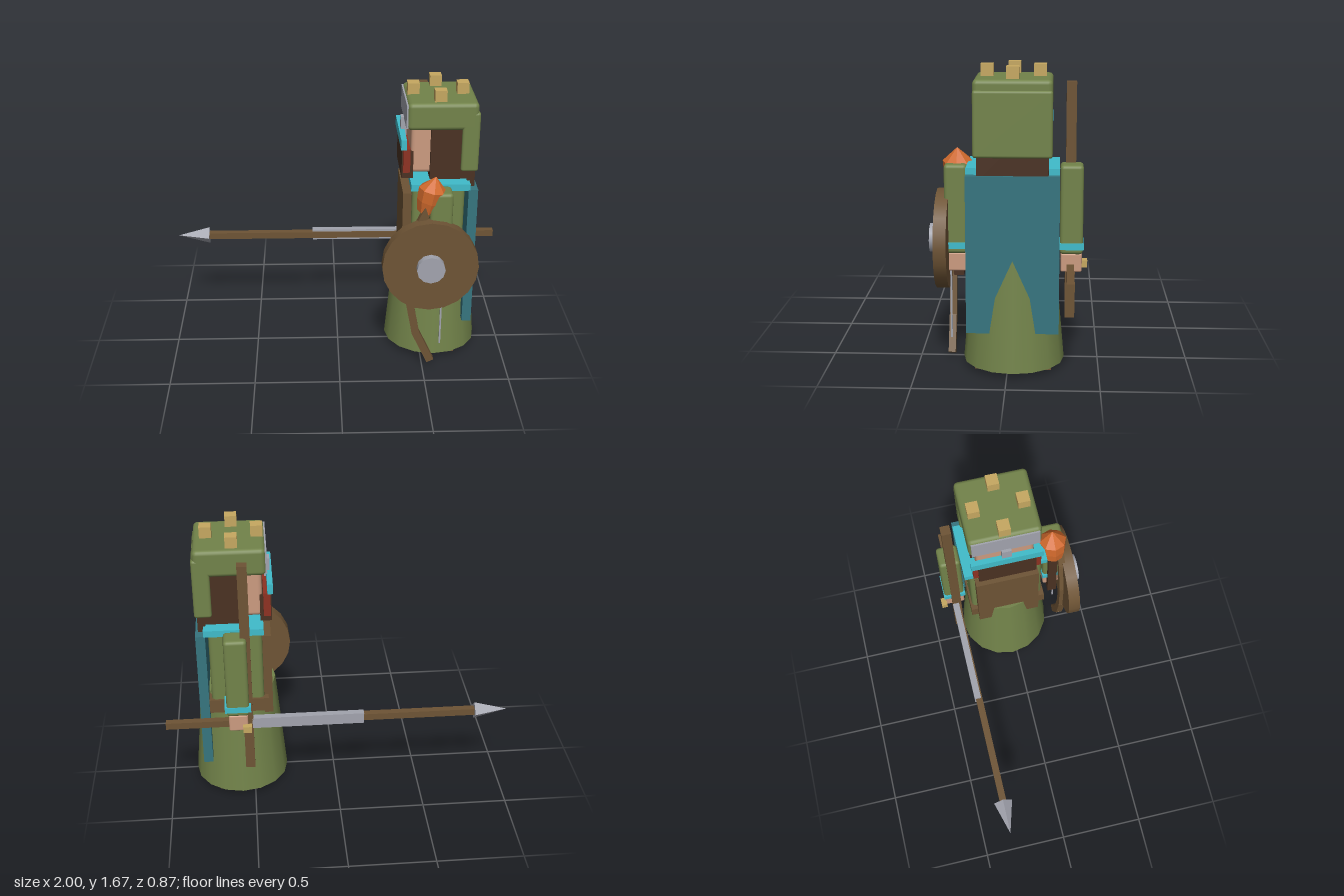
import * as THREE from 'three';
import { RoundedBoxGeometry } from 'three/addons/geometries/RoundedBoxGeometry.js';

export function createModel() {
  const model = new THREE.Group();
  model.name = 'hoodedGuard';

  const material = (name, color) => {
    const m = new THREE.MeshStandardMaterial({ color });
    m.name = name;
    return m;
  };
  const green = material('greenCloth', 0x72834a);
  const wood = material('wood', 0x6e5435);
  const darkBrown = material('darkBrown', 0x4a3122);
  const steel = material('steel', 0xa2a4ae);
  const cyan = material('cyanTrim', 0x40bccb);
  const teal = material('tealCape', 0x36757f);
  const skin = material('skin', 0xcc9b80);
  const red = material('red', 0x8e3222);
  const orange = material('orangeFlame', 0xd0692c);
  const gold = material('gold', 0xc6a861);

  const add = (name, geometry, mat, x = 0, y = 0, z = 0) => {
    const mesh = new THREE.Mesh(geometry, mat);
    mesh.name = name;
    mesh.position.set(x, y, z);
    model.add(mesh);
    return mesh;
  };
  // Box from its limits on each axis, with an optional bevel
  const box = (name, mat, [x0, x1], [y0, y1], [z0, z1], bevel = 0) => {
    const size = [x1 - x0, y1 - y0, z1 - z0];
    const geometry = bevel
      ? new RoundedBoxGeometry(...size, 2, bevel)
      : new THREE.BoxGeometry(...size);
    return add(name, geometry, mat, (x0 + x1) / 2, (y0 + y1) / 2, (z0 + z1) / 2);
  };

  const cx = 0.575, cz = -0.03; // body axis; the figure looks along -x
  const wide = (half) => [cz - half, cz + half];

  // Robe, torso, belt and boots
  add('robe', new THREE.CylinderGeometry(0.222, 0.28, 0.65, 16), green, cx, 0.355, cz);
  box('torso', green, [0.425, 0.73], [0.6, 1.12], wide(0.22), 0.025);
  box('belt', wood, [0.4, 0.745], [0.58, 0.665], wide(0.232));
  for (const side of [-1, 1]) {
    const z = cz + side * 0.12;
    box('boot', wood, [0.505, 0.71], [0, 0.1], [z - 0.09, z + 0.09]);
  }
  box('chestPanel', wood, [0.375, 0.425], [0.54, 1.06], wide(0.19));
  box('collar', cyan, [0.415, 0.755], [1.1, 1.14], wide(0.25));
  box('cape', teal, [0.745, 0.8], [0.24, 1.105], wide(0.25));

  // Arms with cuffs and hands
  for (const side of [-1, 1]) {
    const z = cz + side * 0.315;
    box('arm', green, [0.515, 0.645], [0.64, 1.135], [z - 0.063, z + 0.063], 0.02);
    box('cuff', cyan, [0.505, 0.655], [0.67, 0.705], [z - 0.067, z + 0.067]);
    box('hand', skin, [0.525, 0.635], [0.54, 0.645], [z - 0.058, z + 0.058], 0.01);
  }

  // Head and hair
  box('head', skin, [0.415, 0.73], [1.18, 1.47], wide(0.17), 0.025);
  box('hair', darkBrown, [0.525, 0.77], [1.15, 1.47], wide(0.19));
  box('backHair', darkBrown, [0.74, 0.785], [1.07, 1.46], wide(0.19));

  // Hood with gold studs
  box('hoodTop', green, [0.39, 0.79], [1.45, 1.61], wide(0.21), 0.025);
  box('hoodBack', green, [0.7, 0.8], [1.2, 1.555], wide(0.21), 0.015);
  for (const [dx, dz] of [[0.142, 0], [-0.142, 0], [0, 0.142], [0, -0.142]]) {
    add('stud', new THREE.BoxGeometry(0.068, 0.075, 0.068), gold, cx + dx, 1.637, cz + dz);
  }

  // Face guard, from brow to beard
  box('browPlate', steel, [0.383, 0.393], [1.46, 1.595], wide(0.195));
  box('noseGuard', steel, [0.366, 0.4], [1.36, 1.47], wide(0.028));
  box('faceBand', cyan, [0.355, 0.387], [1.337, 1.397], wide(0.21));
  box('mask', red, [0.37, 0.41], [1.195, 1.337], wide(0.2));
  box('beard', darkBrown, [0.364, 0.43], [1.15, 1.315], wide(0.17));

  // Spear, blade and upright pole in one hand
  box('spearShaft', wood, [-0.815, 1], [0.543, 0.584], [-0.36, -0.32]);
  const tip = add('spearTip', new THREE.ConeGeometry(0.055, 0.195, 4).toNonIndexed(), steel,
    -0.9025, 0.5635, -0.34);
  tip.geometry.computeVertexNormals();
  tip.rotation.z = Math.PI / 2;
  box('blade', steel, [-0.15, 0.5], [0.53, 0.597], [-0.367, -0.328]);
  box('pole', wood, [0.495, 0.55], [0.25, 1.575], [-0.367, -0.312]);
  box('pommel', gold, [0.505, 0.555], [0.545, 0.585], [-0.435, -0.4]);

  // Round shield with a boss
  const disc = (name, mat, radius, depth, segments, z) => {
    const mesh = add(name, new THREE.CylinderGeometry(radius, radius, depth, segments), mat, 0.523, 0.7, z);
    mesh.rotation.x = Math.PI / 2;
  };
  disc('shield', wood, 0.278, 0.07, 20, 0.36);
  disc('shieldBoss', steel, 0.082, 0.045, 12, 0.415);

  // Bow made of straight limbs, and its string
  const bow = [[0.545, 0.04], [0.455, 0.23], [0.41, 0.46], [0.41, 0.7], [0.455, 0.93], [0.545, 1.12]];
  for (let i = 0; i < bow.length - 1; i++) {
    const [x0, y0] = bow[i], [x1, y1] = bow[i + 1];
    const length = Math.hypot(x1 - x0, y1 - y0) + 0.015;
    const limb = add('bowLimb', new THREE.BoxGeometry(0.045, length, 0.04), wood,
      (x0 + x1) / 2, (y0 + y1) / 2, 0.32);
    limb.rotation.z = -Math.atan2(x1 - x0, y1 - y0);
  }
  box('bowString', steel, [0.598, 0.608], [0.145, 1.02], [0.311, 0.321]);

  // Torch
  box('torchHandle', darkBrown, [0.49, 0.545], [0.49, 1.03], [0.25, 0.305]);
  const profile = [[0, -0.12], [0.06, -0.1], [0.077, -0.03], [0.082, 0.04], [0, 0.118]]
    .map(([r, y]) => new THREE.Vector2(r, y));
  const flame = new THREE.LatheGeometry(profile, 8).toNonIndexed();
  flame.computeVertexNormals();
  add('flame', flame, orange, 0.525, 1.1, 0.28).rotation.z = -0.2;

  return model;
}
